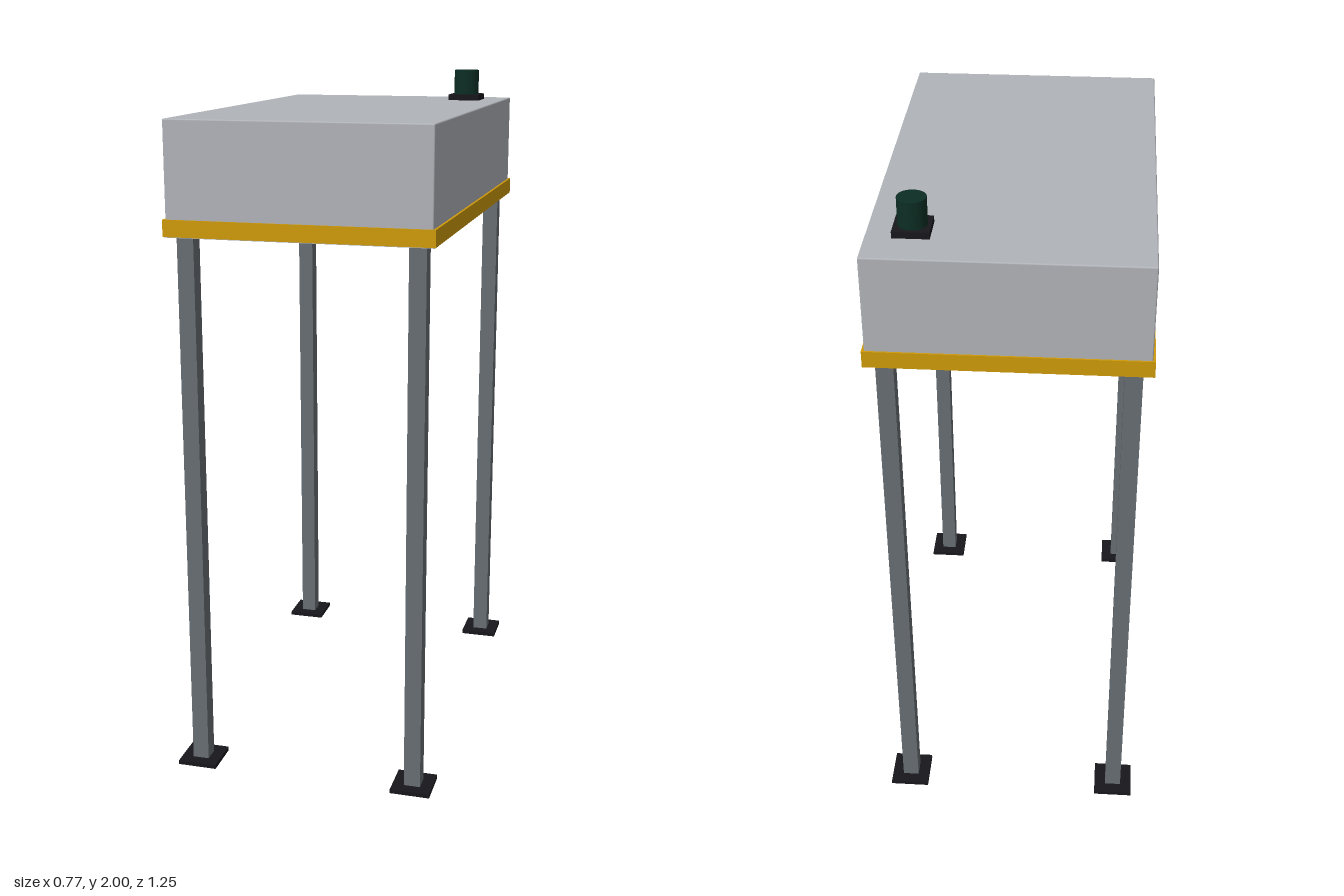
import * as THREE from 'three';
import { RoundedBoxGeometry } from 'three/addons/geometries/RoundedBoxGeometry.js';

const material = (name, color) => {
  const m = new THREE.MeshStandardMaterial({ color });
  m.name = name;
  return m;
};

export function createModel() {
  const model = new THREE.Group();
  const panelGrey = material('panelGrey', 0xb0b3b8);
  const trimYellow = material('trimYellow', 0xcf9a0a);
  const steel = material('steel', 0x666e72);
  const black = material('black', 0x17171c);
  const lensGreen = material('lensGreen', 0x0c2d23);

  const add = (name, geometry, mat, x, y, z, parent = model) => {
    const mesh = new THREE.Mesh(geometry, mat);
    mesh.name = name;
    mesh.position.set(x, y, z);
    parent.add(mesh);
    return mesh;
  };
  // Box given by its bottom and top heights
  const slab = (name, w, d, y0, y1, mat, x = 0, z = 0, parent = model) =>
    add(name, new THREE.BoxGeometry(w, y1 - y0, d), mat, x, (y0 + y1) / 2, z, parent);

  // Cabinet body with softened edges, its trim band and its underside
  add('cabinet', new RoundedBoxGeometry(0.742, 0.296, 1.234, 2, 0.004), panelGrey, 0, 1.758, 0);
  slab('trimBand', 0.756, 1.244, 1.59, 1.637, trimYellow);
  slab('underside', 0.75, 1.238, 1.588, 1.592, panelGrey);

  // Square access panel with rounded corners under the cabinet
  const h = 0.232, r = 0.015;
  const outline = new THREE.Shape();
  outline.absarc(h - r, h - r, r, 0, Math.PI / 2);
  outline.absarc(r - h, h - r, r, Math.PI / 2, Math.PI);
  outline.absarc(r - h, r - h, r, Math.PI, Math.PI * 1.5);
  outline.absarc(h - r, r - h, r, Math.PI * 1.5, Math.PI * 2);
  const panel = new THREE.ExtrudeGeometry(outline, { depth: 0.019, bevelEnabled: false, curveSegments: 4 });
  panel.rotateX(-Math.PI / 2);
  add('accessPanel', panel, black, 0, 1.571, 0);

  // Four square posts on foot plates
  for (const sx of [-1, 1]) {
    for (const sz of [-1, 1]) {
      const leg = new THREE.Group();
      leg.name = 'leg';
      leg.position.set(sx * 0.325, 0, sz * 0.569);
      slab('post', 0.048, 0.048, 0.01, 1.588, steel, 0, 0, leg);
      slab('footPlate', 0.116, 0.116, 0, 0.012, black, 0, 0, leg);
      model.add(leg);
    }
  }

  // Beacon on the roof
  const beacon = new THREE.Group();
  beacon.name = 'beacon';
  beacon.position.set(0.252, 0, -0.459);
  slab('beaconBase', 0.098, 0.098, 1.905, 1.924, black, 0, 0, beacon);
  add('beaconLens', new THREE.CylinderGeometry(0.039, 0.039, 0.077, 32), lensGreen, 0, 1.9615, 0, beacon);
  model.add(beacon);

  return model;
}
